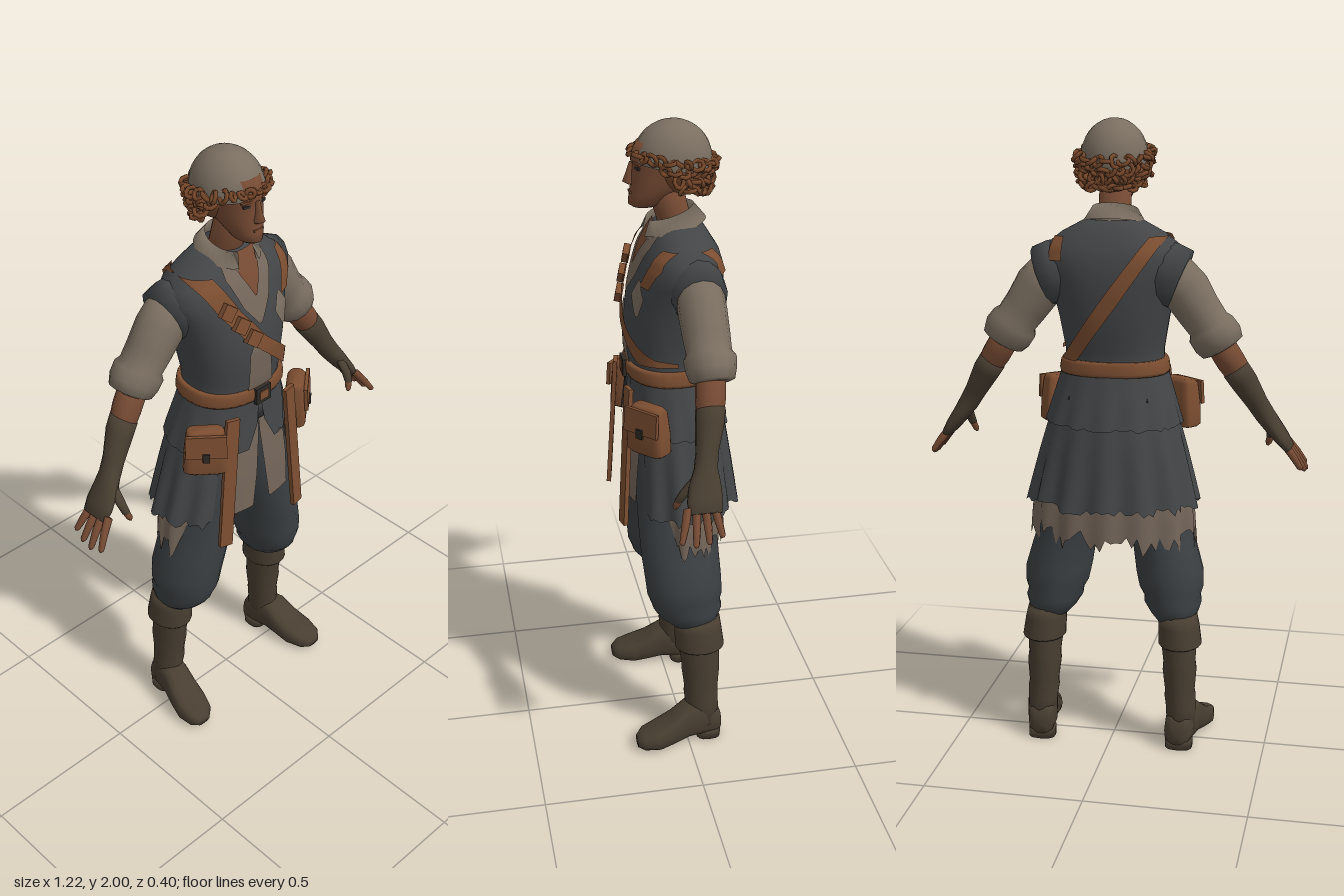
import * as THREE from 'three';
import { mergeGeometries } from 'three/addons/utils/BufferGeometryUtils.js';

const mat = (name, color) => new THREE.MeshStandardMaterial({ name, color, side: THREE.DoubleSide });
const V = (x, y, z) => new THREE.Vector3(x, y, z);
const lerp = THREE.MathUtils.lerp;
const spow = (v, k) => Math.sign(v) * Math.abs(v) ** k;

// Body surface: y, half width, front z, back z
const BODY = [
  [0.62, 0.285, 0.17, -0.2], [0.8, 0.275, 0.17, -0.195], [0.95, 0.24, 0.165, -0.175], [1.08, 0.205, 0.155, -0.155],
  [1.18, 0.175, 0.145, -0.128], [1.25, 0.155, 0.14, -0.11], [1.3, 0.155, 0.148, -0.118], [1.4, 0.172, 0.152, -0.138],
  [1.5, 0.195, 0.138, -0.147], [1.58, 0.225, 0.112, -0.142], [1.62, 0.21, 0.098, -0.13], [1.66, 0.16, 0.075, -0.105],
  [1.7, 0.085, 0.05, -0.08],
];
const K = 0.88;
function bodyAt(y) {
  let i = 0;
  while (i < BODY.length - 2 && y > BODY[i + 1][0]) i++;
  const a = BODY[i], b = BODY[i + 1], t = THREE.MathUtils.clamp((y - a[0]) / (b[0] - a[0]), 0, 1);
  const [rx, f, k] = [1, 2, 3].map(n => lerp(a[n], b[n], t));
  return { rx, cz: (f + k) / 2, rz: (f - k) / 2 };
}

// Skin a surface over rings; closed ones get end caps and are turned outward
function loft(rings, closed = true) {
  const n = rings[0].length, m = rings.length, pts = rings.flat(), idx = [];
  for (let i = 0; i < m - 1; i++) for (let j = 0; j < (closed ? n : n - 1); j++) {
    const a = i * n + j, b = i * n + (j + 1) % n;
    idx.push(a, b, b + n, a, b + n, a + n);
  }
  if (closed) {
    for (const [r, flip] of [[0, true], [m - 1, false]]) {
      const c = rings[r].reduce((s, p) => s.add(p), V(0, 0, 0)).divideScalar(n), o = r * n;
      pts.push(c);
      for (let j = 0; j < n; j++) {
        const a = o + j, b = o + (j + 1) % n;
        idx.push(pts.length - 1, flip ? b : a, flip ? a : b);
      }
    }
    let vol = 0;
    for (let i = 0; i < idx.length; i += 3) vol += pts[idx[i]].dot(V(0, 0, 0).crossVectors(pts[idx[i + 1]], pts[idx[i + 2]]));
    if (vol < 0) idx.reverse();
  }
  const g = new THREE.BufferGeometry().setFromPoints(pts);
  g.setIndex(idx);
  g.computeVertexNormals();
  return g;
}
// Horizontal ring
const ring = (y, cx, cz, rx, rz, n = 20, k = 1) => Array.from({ length: n }, (_, j) => {
  const a = j / n * Math.PI * 2;
  return V(cx + rx * spow(Math.sin(a), k), y, cz + rz * spow(Math.cos(a), k));
});
// Tube along points [x, y, z, in-plane radius, depth radius]
function limb(path, s = 1, n = 14) {
  return loft(path.map(([x, y, z, r, rz = r], i) => {
    const p = path[Math.max(i - 1, 0)], q = path[Math.min(i + 1, path.length - 1)];
    const dx = q[0] - p[0], dy = q[1] - p[1], l = Math.hypot(dx, dy) || 1;
    return Array.from({ length: n }, (_, j) => {
      const a = j / n * Math.PI * 2, c = r * Math.cos(a);
      return V(s * (x - dy / l * c), y + dx / l * c, z + rz * Math.sin(a));
    });
  }));
}
// Thin cloth laid on the body; rows are [y, x0, x1]
function patch(rows, off = 0.008, side = 1, cols = 6) {
  const out = [];
  for (let i = 0; i < rows.length - 1; i++) for (let t = 0; t < 6 + (i === rows.length - 2); t++) {
    const [y, x0, x1] = rows[i].map((v, k) => lerp(v, rows[i + 1][k], t / 6)), { rx, cz, rz } = bodyAt(y);
    out.push(Array.from({ length: cols + 1 }, (_, j) => {
      const x = THREE.MathUtils.clamp(lerp(x0, x1, j / cols), -rx - off, rx + off);
      const u = Math.min(1, Math.abs(x) / (rx + off));
      return V(x, y, cz + side * (rz + off) * (1 - u ** (2 / K)) ** (K / 2));
    }));
  }
  return loft(out, false);
}

export function createModel() {
  const model = new THREE.Group();
  model.name = 'villager';
  const vest = mat('charcoal cloth', 0x434547), pants = mat('slate cloth', 0x3c4043), shirt = mat('tan linen', 0x74665a),
    pale = mat('grey linen', 0x7a6e60), leather = mat('leather', 0x7c4e31), skin = mat('skin', 0x754a33),
    boot = mat('boot hide', 0x483e31), hair = mat('hair', 0x77482b), dark = mat('dark trim', 0x2f2a26);
  const add = (name, geo, m, parent = model) => {
    const o = new THREE.Mesh(geo, m);
    o.name = name;
    parent.add(o);
    return o;
  };
  const box = (name, size, pos, rot, m, parent) => {
    const o = add(name, new THREE.BoxGeometry(...size), m, parent);
    o.position.set(...pos);
    o.rotation.set(...rot);
    return o;
  };
  let seed = 7;
  const rnd = () => (seed = (seed * 16807) % 2147483647) / 2147483647;

  // Torso
  const bodyRing = (y, off = 0) => { const b = bodyAt(y); return ring(y, 0, b.cz, b.rx + off, b.rz + off, 36, K); };
  add('vest', loft([1.15, 1.2, 1.25, 1.3, 1.35, 1.4, 1.45, 1.5, 1.54, 1.58, 1.62, 1.66, 1.7].map(y => bodyRing(y))), vest);
  add('shirtNeck', patch([[1.49, -0.005, 0.005], [1.55, -0.05, 0.05], [1.64, -0.085, 0.085], [1.69, -0.08, 0.08]], 0.006), shirt);
  add('throat', patch([[1.575, -0.003, 0.003], [1.64, -0.035, 0.035], [1.7, -0.055, 0.055]], 0.011), skin);
  add('shirtFront', patch([[1.25, -0.05, 0.055], [1.4, -0.05, 0.03], [1.46, -0.02, 0]], 0.006), shirt);
  add('chestPatch', patch([[1.44, 0.1, 0.115], [1.5, 0.065, 0.135], [1.55, 0.09, 0.1]], 0.007), pale);
  add('shoulderBandFront', patch([[1.535, 0.105, 0.15], [1.6, 0.13, 0.185], [1.65, 0.14, 0.175]]), leather);
  add('shoulderBandBack', patch([[1.58, 0.14, 0.19], [1.65, 0.14, 0.175]], 0.008, -1), leather);

  // Diagonal strap, belt and fittings
  const sash = [[1.29, 0.15], [1.36, 0.075], [1.45, -0.025], [1.55, -0.1], [1.655, -0.155]];
  add('strapFront', patch(sash.map(([y, x]) => [y, x - 0.033, x + 0.033]), 0.014), leather);
  add('strapBack', patch([[1.27, 0.1, 0.155], [1.46, -0.04, 0.02], [1.655, -0.175, -0.125]], 0.01, -1), leather);
  for (const [x, y, z] of [[-0.115, 1.565, 0.125], [-0.08, 1.515, 0.145], [-0.045, 1.465, 0.16]])
    box('strapPouch', [0.045, 0.04, 0.022], [x, y, z], [-0.2, -0.2, 0.9], leather);
  add('belt', loft([1.225, 1.235, 1.262, 1.272].map((y, i) => bodyRing(y, i % 3 ? 0.014 : 0.008))), leather);
  box('buckle', [0.06, 0.055, 0.012], [0, 1.245, 0.157], [0, 0, 0], dark);
  box('buckleTongue', [0.035, 0.03, 0.008], [0, 1.245, 0.162], [0, 0, 0], leather);

  // Skirts: open at the front, pleated and ragged at the hem
  const flare = (y0, y1, a0, off, pleat, rag, shrink = 1, n = 72) => {
    const jag = Array.from({ length: n + 1 }, () => rnd() * rag);
    return loft([0, 0.25, 0.5, 0.75, 1].map(t => jag.map((g, j) => {
      const a = lerp(a0, Math.PI * 2 - a0, j / n), y = lerp(y1, y0 + g, t), b = bodyAt(y);
      const w = off + pleat * t * Math.cos(a * 14);
      return V((b.rx + w) * Math.sin(a), y, b.cz + (b.rz * shrink + w) * Math.cos(a));
    })).reverse(), false);
  };
  add('peplum', flare(1.06, 1.24, 0.3, 0.008, 0.004, 0.012), vest);
  add('skirt', flare(0.8, 1.14, 0.72, 0, 0.01, 0.025), vest);
  add('underskirt', flare(0.66, 0.98, 0.85, -0.016, 0.007, 0.08, 0.82), shirt);
  for (const s of [-1, 1]) {
    add('shirtTail', patch([[0.83, s * 0.035, s * 0.13], [0.95, s * 0.018, s * 0.13], [1.1, s * 0.002, s * 0.12], [1.2, 0, s * 0.1]], -0.008), shirt);
    add('vestTail', patch([[1.06, s * 0.055, s * 0.1], [1.14, s * 0.015, s * 0.12], [1.23, s * 0.002, s * 0.13]], 0.004), vest);
    // Hanging belt ends
    const x0 = s > 0 ? 0.11 : -0.13, x1 = s > 0 ? 0.135 : -0.18;
    const o = box('hangingStrap', [0.045, 0.45, 0.014], [(x0 + x1) / 2, 0.99, 0.172], [-0.07, 0, Math.atan2(x1 - x0, 0.43)], leather);
    o.rotation.y = s * 0.2;
    // Hip pouches
    const pouch = new THREE.Group();
    pouch.name = 'hipPouch';
    pouch.position.set(s * 0.195, 1.11, 0.112);
    pouch.rotation.y = s * 0.7;
    model.add(pouch);
    add('pouchBody', loft([[-0.075, 0.058, 0.028], [-0.065, 0.07, 0.036], [0, 0.066, 0.036], [0.065, 0.058, 0.03], [0.078, 0.05, 0.02]]
      .map(([y, rx, rz]) => ring(y, 0, 0, rx, rz, 20, 0.45))), leather, pouch);
    box('pouchFlap', [0.125, 0.075, 0.012], [0, 0.035, 0.036], [-0.07, 0, 0], leather, pouch);
    box('pouchClasp', [0.022, 0.03, 0.008], [0, 0, 0.045], [0, 0, 0], dark, pouch);
  }

  for (const s of [-1, 1]) {
    // Arms
    add('armhole', limb([[0.1, 1.565, -0.03, 0.08, 0.07], [0.17, 1.54, -0.035, 0.098, 0.085], [0.215, 1.522, -0.04, 0.096, 0.08]], s), vest);
    add('sleeve', limb([[0.18, 1.55, -0.04, 0.07], [0.23, 1.49, -0.042, 0.077, 0.072], [0.27, 1.43, -0.045, 0.07], [0.3, 1.39, -0.047, 0.067],
      [0.308, 1.375, -0.048, 0.078], [0.33, 1.345, -0.048, 0.08, 0.074], [0.345, 1.32, -0.048, 0.07, 0.066], [0.348, 1.315, -0.048, 0.05]], s), pale);
    add('forearm', limb([[0.33, 1.34, -0.045, 0.045], [0.37, 1.275, -0.038, 0.045], [0.42, 1.2, -0.025, 0.037]], s), skin);
    add('glove', limb([[0.385, 1.25, -0.034, 0.044], [0.41, 1.213, -0.028, 0.043], [0.45, 1.145, -0.012, 0.034], [0.475, 1.105, -0.003, 0.032, 0.035],
      [0.5, 1.07, 0.005, 0.028, 0.047], [0.53, 1.03, 0.01, 0.023, 0.053], [0.552, 1.0, 0.012, 0.016, 0.048]], s), boot);
    for (let f = 0; f < 4; f++) {
      const z = -0.026 + f * 0.026, l = [0.8, 0.95, 1, 0.9][f], zt = z * 1.5;
      add('finger', limb([[0.54, 1.015, z + 0.01, 0.013], [0.54 + 0.035 * l, 1.015 - 0.045 * l, (z + zt) / 2 + 0.01, 0.012],
        [0.54 + 0.062 * l, 1.015 - 0.085 * l, zt + 0.01, 0.009], [0.54 + 0.066 * l, 1.015 - 0.092 * l, zt + 0.01, 0.004]], s, 8), skin);
    }
    add('thumb', limb([[0.49, 1.08, 0.03, 0.016], [0.492, 1.045, 0.06, 0.016], [0.487, 1.015, 0.078, 0.013]], s, 8), boot);
    add('thumbTip', limb([[0.488, 1.02, 0.076, 0.012], [0.48, 0.995, 0.085, 0.01], [0.477, 0.985, 0.087, 0.004]], s, 8), skin);

    // Legs
    add('trouserLeg', loft([[0.425, 0.205, -0.025, 0.06, 0.07], [0.45, 0.2, -0.015, 0.078, 0.092], [0.48, 0.195, -0.008, 0.092, 0.11], [0.5, 0.192, -0.002, 0.09, 0.11],
      [0.53, 0.188, 0, 0.103, 0.12], [0.58, 0.182, 0.003, 0.108, 0.122], [0.66, 0.165, 0.01, 0.102, 0.124], [0.75, 0.138, 0.012, 0.098, 0.126],
      [0.85, 0.115, 0.01, 0.1, 0.13], [0.95, 0.1, 0.008, 0.1, 0.13], [1.15, 0.08, 0.005, 0.085, 0.115]].map(r => ring(r[0], s * r[1], ...r.slice(2)))), pants);
    add('bootShaft', loft([[0.06, 0.232, -0.05, 0.048, 0.056], [0.13, 0.23, -0.05, 0.048, 0.054], [0.17, 0.227, -0.047, 0.051, 0.056], [0.19, 0.226, -0.048, 0.048, 0.055],
      [0.26, 0.224, -0.046, 0.055, 0.062], [0.29, 0.223, -0.045, 0.052, 0.062], [0.36, 0.22, -0.04, 0.058, 0.068], [0.45, 0.215, -0.035, 0.06, 0.07]]
      .map(r => ring(r[0], s * r[1], ...r.slice(2)))), boot);
    add('bootCuff', loft([[0.345, 0.224, -0.042, 0.066, 0.077], [0.35, 0.224, -0.042, 0.07, 0.08], [0.41, 0.219, -0.038, 0.066, 0.076], [0.445, 0.215, -0.036, 0.062, 0.073]]
      .map(r => ring(r[0], s * r[1], ...r.slice(2)))), boot);
    // Foot: z, centre x, half width, height, underside
    add('foot', loft([[-0.112, 0.225, 0.025, 0.08, 0.02], [-0.1, 0.226, 0.042, 0.11, 0.015], [-0.05, 0.232, 0.05, 0.14, 0.015], [0, 0.242, 0.051, 0.14, 0.015],
      [0.05, 0.252, 0.057, 0.1, 0.008], [0.1, 0.261, 0.06, 0.075, 0], [0.15, 0.267, 0.048, 0.058, 0.004], [0.172, 0.27, 0.025, 0.04, 0.012]]
      .map(([z, x, w, h, b]) => Array.from({ length: 16 }, (_, j) => {
        const a = j / 16 * Math.PI * 2;
        return V(s * (x + w * spow(Math.cos(a), 0.7)), (h + b) / 2 + (h - b) / 2 * spow(Math.sin(a), 0.7), z);
      }))), boot);
    add('heel', loft([ring(0, s * 0.228, -0.07, 0.044, 0.04, 16, 0.7), ring(0.03, s * 0.228, -0.07, 0.044, 0.042, 16, 0.7)]), boot);
  }

  // Neck, collar and head
  add('neck', loft([[1.65, -0.02, 0.06, 0.058], [1.71, 0, 0.05, 0.052], [1.8, 0.025, 0.05, 0.055]].map(([y, z, rx, rz]) => ring(y, 0, z, rx, rz))), skin);
  const collar = [[0.088, 0, 0], [0.07, 0.055, 0.004], [0.098, 0.01, -0.005]].map(([r, up, dz]) => Array.from({ length: 25 }, (_, j) => {
    const a = lerp(0.42, Math.PI * 2 - 0.42, j / 24);
    return V(r * Math.sin(a), 1.675 + up - 0.022 * Math.cos(a), 0.008 + dz + r * 1.02 * Math.cos(a));
  }));
  add('collar', loft(collar, false), pale);
  add('head', loft([[1.745, 0.022, 0.12, 0.05], [1.755, 0.036, 0.135, 0.03], [1.78, 0.05, 0.134, 0], [1.81, 0.062, 0.129, -0.05], [1.84, 0.068, 0.128, -0.08],
    [1.87, 0.072, 0.124, -0.09], [1.9, 0.075, 0.128, -0.095], [1.94, 0.07, 0.11, -0.08]].map(([y, rx, f, b]) => ring(y, 0, (f + b) / 2, rx, (f - b) / 2, 24))), skin);
  add('nose', loft([[1.815, 0.015, 0.013], [1.822, 0.016, 0.027], [1.85, 0.009, 0.016], [1.88, 0.007, 0.006]].map(([y, rx, rz]) => ring(y, 0, 0.125, rx, rz, 10))), skin);
  for (const s of [-1, 1]) {
    box('eye', [0.022, 0.008, 0.008], [s * 0.031, 1.866, 0.112], [0, s * 0.35, 0], dark);
    box('brow', [0.034, 0.007, 0.009], [s * 0.033, 1.881, 0.114], [0, s * 0.35, s * -0.08], hair);
  }
  box('mouth', [0.036, 0.006, 0.008], [0, 1.792, 0.129], [0, 0, 0], leather);

  // Hair: a base shell and a wreath of curls, longer behind
  const shell = add('hairBase', new THREE.SphereGeometry(1, 20, 14), hair);
  shell.scale.set(0.094, 0.088, 0.092);
  shell.position.set(0, 1.868, -0.02);
  const curls = [];
  for (let row = 0; row < 4; row++) for (let i = 0; i < 28; i++) {
    const a = (i + row * 0.5) / 28 * Math.PI * 2, c = Math.cos(a);
    if (row && c > 0.55 - row * 0.18) continue;
    const r = 0.011 + rnd() * 0.008, k = 1 - row * 0.05 + rnd() * 0.06;
    const g = new THREE.TorusGeometry(r, 0.007, 5, 8);
    g.rotateX(rnd() * 3).rotateY(rnd() * 3);
    curls.push(g.translate(0.108 * k * Math.sin(a), 1.893 + 0.017 * c - row * 0.026, 0.002 + 0.118 * k * c));
  }
  add('curls', mergeGeometries(curls), hair);
  const cap = add('cap', new THREE.SphereGeometry(1, 20, 10, 0, Math.PI * 2, 0, Math.PI * 0.54), pale);
  cap.scale.set(0.103, 0.118, 0.118);
  cap.position.set(0, 1.882, 0.002);
  cap.rotation.x = -0.14;
  return model;
}
